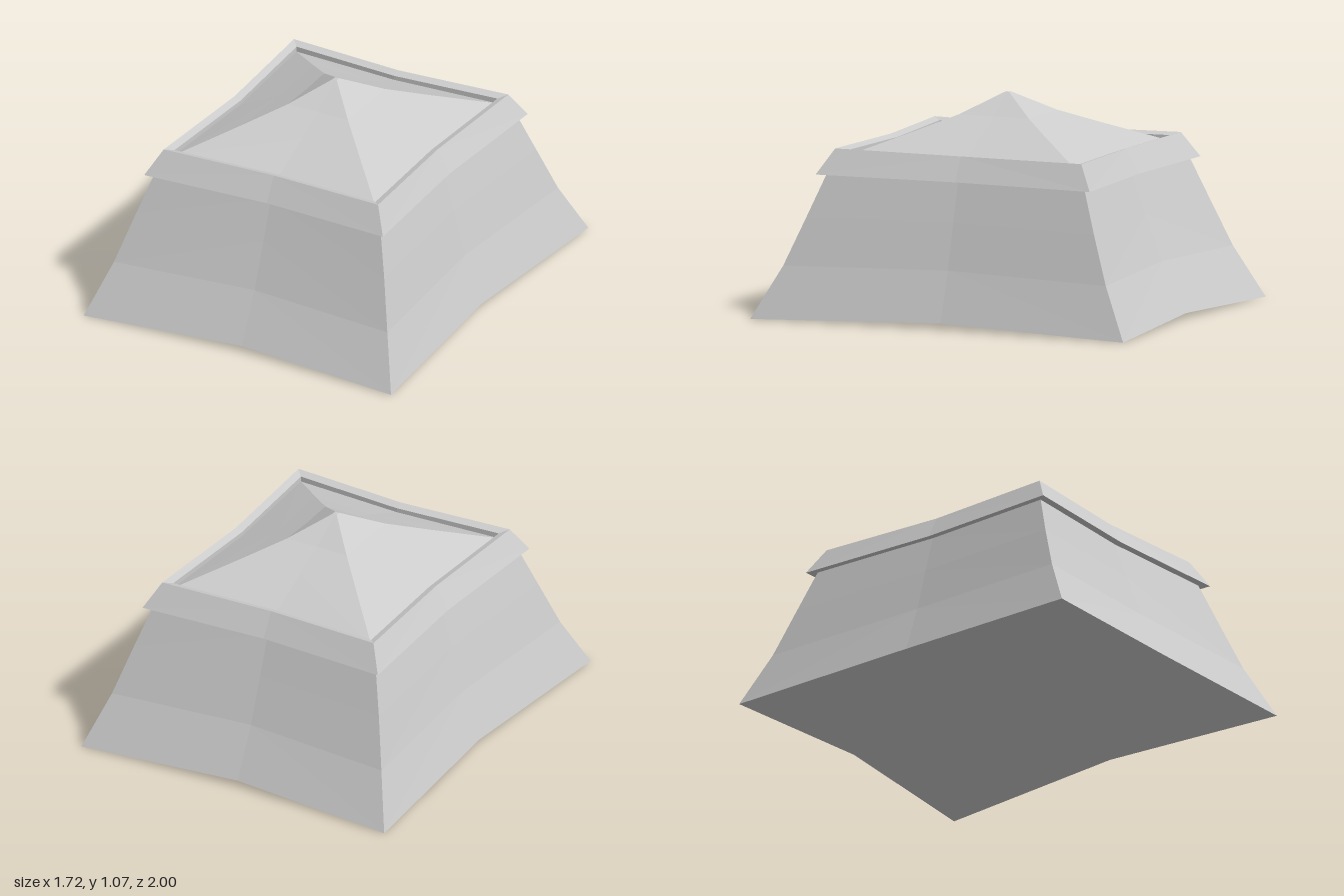
import * as THREE from 'three';

// Skins a stack of eight-point rings: four corners plus four side midpoints.
// Each ring is [half width x, half depth z, y, midpoint pull-in, midpoint lift].
function loft(name, rings) {
  const positions = [];
  const index = [];
  for (const [x, z, y, pull = 0, lift = 0] of rings) {
    const m = y + lift;
    positions.push(
      x, y, z, x - pull, m, 0,
      x, y, -z, 0, m, -z + pull,
      -x, y, -z, -x + pull, m, 0,
      -x, y, z, 0, m, z - pull
    );
  }
  for (let r = 0; r < rings.length - 1; r++) {
    for (let i = 0; i < 8; i++) {
      const j = (i + 1) % 8;
      const a = r * 8 + i, b = r * 8 + j, c = b + 8, d = a + 8;
      // mirror the diagonal on alternate halves so each side is symmetric
      if (i % 2) index.push(a, b, d, b, c, d);
      else index.push(a, b, c, a, c, d);
    }
  }
  const indexed = new THREE.BufferGeometry();
  indexed.setAttribute('position', new THREE.Float32BufferAttribute(positions, 3));
  indexed.setIndex(index);
  const geometry = indexed.toNonIndexed();
  geometry.computeVertexNormals();
  const material = new THREE.MeshStandardMaterial({
    color: 0xcccccc, flatShading: true, side: THREE.DoubleSide,
  });
  const mesh = new THREE.Mesh(geometry, material);
  mesh.name = name;
  return mesh;
}

export function createModel() {
  const group = new THREE.Group();
  group.name = 'pavilionRoof';

  // flared lower roof, closed underneath
  group.add(loft('lowerRoof', [
    [0, 0, 0.03],
    [0.86, 1.0, 0, 0.045, 0.03],
    [0.765, 0.865, 0.26, 0.04, 0.02],
    [0.695, 0.77, 0.5, 0.035, 0.01],
    [0.63, 0.69, 0.71, 0.03, 0],
  ]));

  // overhanging band: underside, sloped face, rim and inner wall
  group.add(loft('band', [
    [0.63, 0.69, 0.707, 0.03, 0],
    [0.668, 0.735, 0.705, 0.033, 0],
    [0.6, 0.66, 0.83, 0.03, -0.005],
    [0.562, 0.618, 0.817, 0.028, -0.005],
    [0.562, 0.618, 0.785, 0.028, 0],
  ]));

  // concave pyramid cap
  group.add(loft('upperRoof', [
    [0.562, 0.618, 0.79, 0.028, 0],
    [0.325, 0.357, 0.897, 0.012, 0],
    [0.17, 0.187, 0.97, 0.005, 0],
    [0.012, 0.013, 1.07],
    [0, 0, 1.071],
  ]));

  return group;
}
